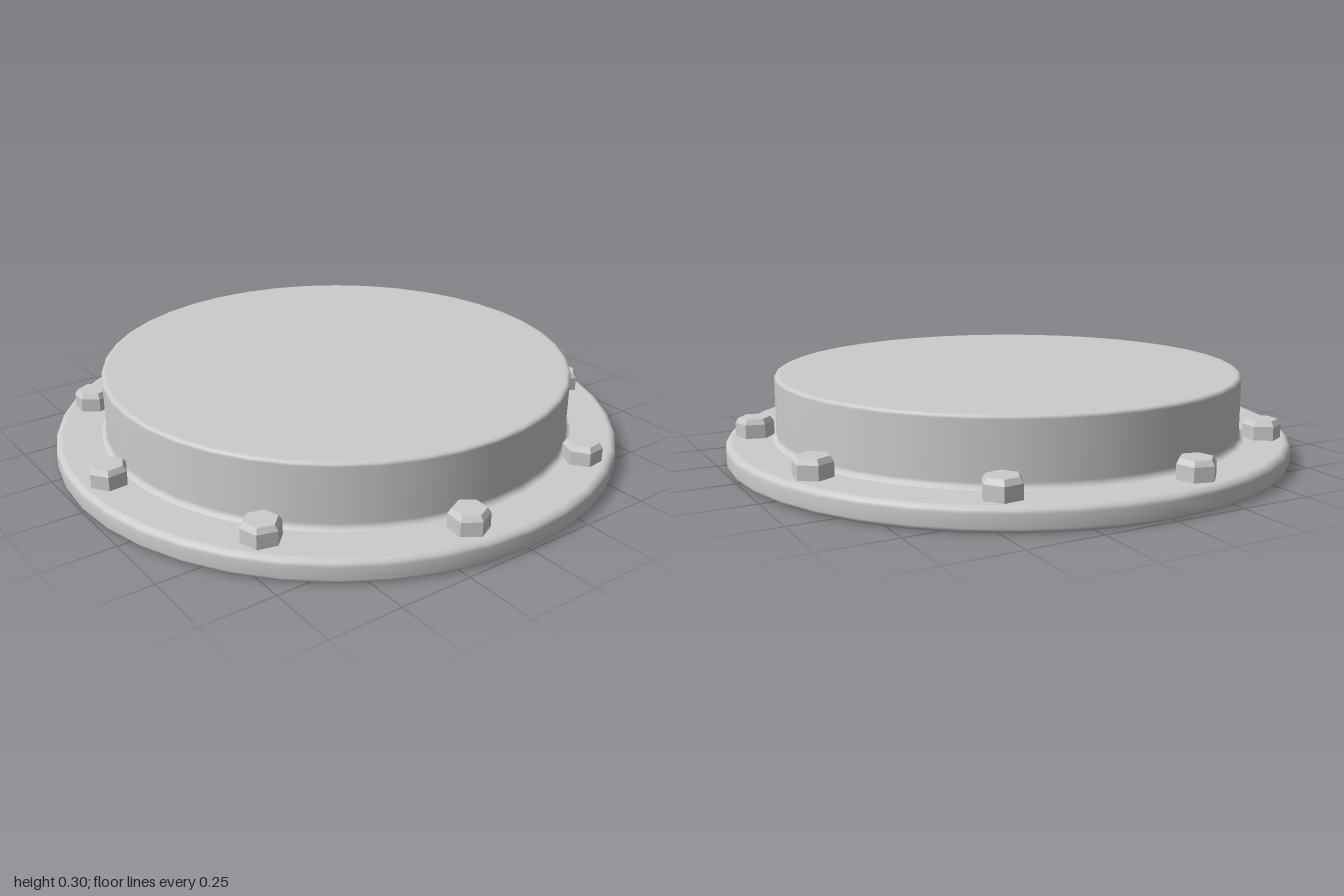
import * as THREE from 'three';

const metal = new THREE.MeshStandardMaterial({ color: 0xcccccc });
const facetedMetal = new THREE.MeshStandardMaterial({ color: 0xcccccc, flatShading: true });

// Revolve a profile of [radius, height] pairs, listed from bottom to top
function revolve(name, profile, sides, material) {
  const points = profile.map(([r, y]) => new THREE.Vector2(r, y));
  const mesh = new THREE.Mesh(new THREE.LatheGeometry(points, sides), material);
  mesh.name = name;
  return mesh;
}

export function createModel() {
  const group = new THREE.Group();
  group.name = 'boltedCover';

  // Flange disc with softened rims, closed underneath
  group.add(revolve('flange', [
    [0, 0], [0.975, 0], [0.985, 0.001], [0.996, 0.008], [1, 0.018],
    [1, 0.06], [0.996, 0.071], [0.985, 0.079], [0.975, 0.08], [0.8, 0.08],
  ], 40, metal));

  // Raised drum with a small fillet at its foot and a bevelled top edge
  group.add(revolve('drum', [
    [0.845, 0.079], [0.835, 0.082], [0.828, 0.09], [0.826, 0.1],
    [0.826, 0.288], [0.823, 0.296], [0.815, 0.3], [0.805, 0.3], [0, 0.3],
  ], 40, metal));

  // Ring of nine hexagonal bolt heads
  const boltCount = 9;
  for (let i = 0; i < boltCount; i++) {
    const angle = (i / boltCount) * Math.PI * 2;
    const bolt = revolve('bolt' + (i + 1), [
      [0.066, 0.07], [0.066, 0.128], [0.054, 0.146], [0, 0.146],
    ], 6, facetedMetal);
    bolt.position.set(Math.sin(angle) * 0.9, 0, Math.cos(angle) * 0.9);
    bolt.rotation.y = angle + 0.1;
    group.add(bolt);
  }

  return group;
}
